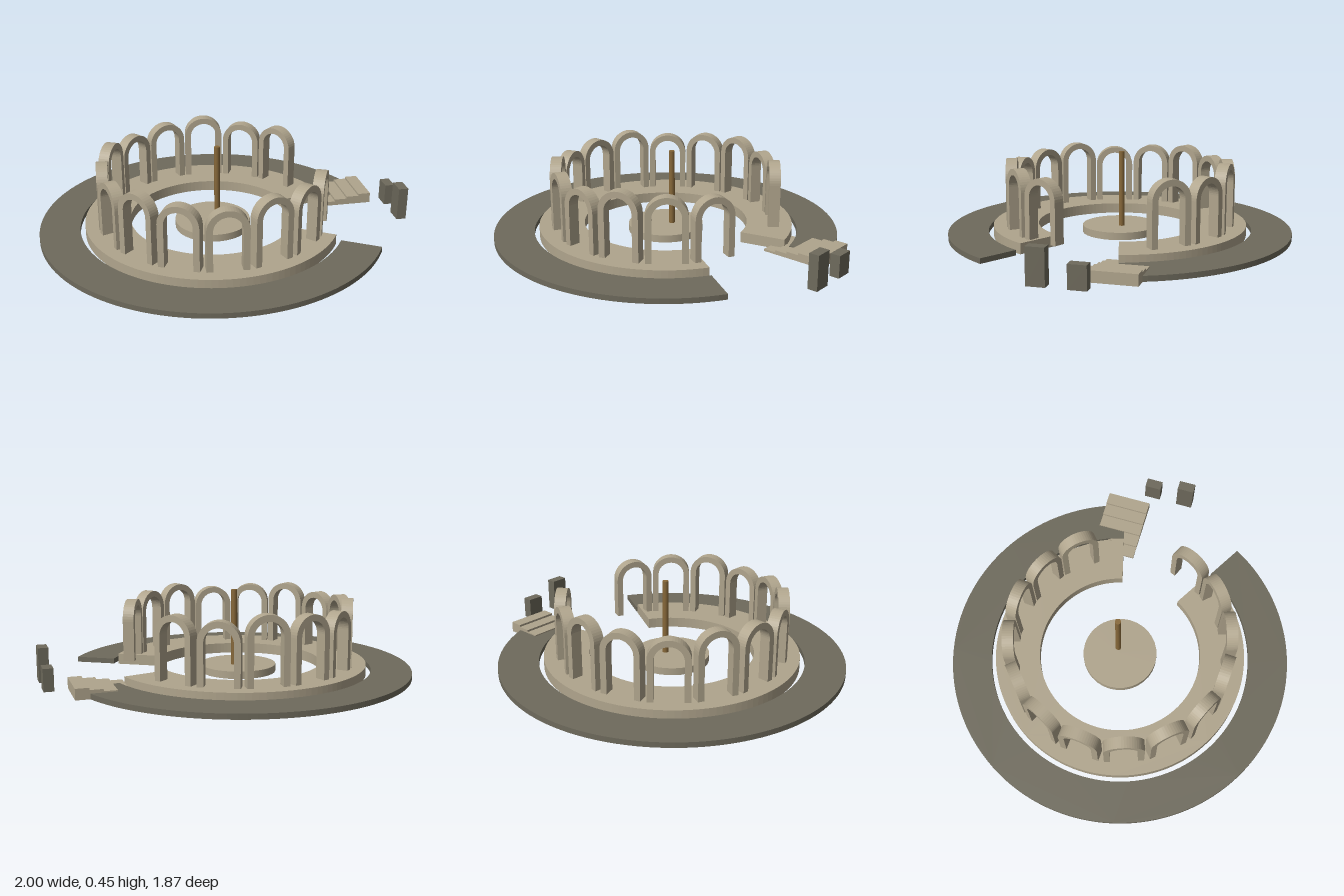
import * as THREE from 'three';

const rad = THREE.MathUtils.degToRad;
const CX = -0.067; // centre of the round court
const GAP_START = rad(30.7), GAP_END = rad(345.3);

export function createModel() {
  const group = new THREE.Group();
  const mat = (name, color) => {
    const m = new THREE.MeshStandardMaterial({ color });
    m.name = name;
    return m;
  };
  const stone = mat('pale stone', 0xb0a58d);
  const dark = mat('dark stone', 0x6e6a5c);
  const bronze = mat('bronze', 0x88693a);

  const add = (name, geometry, material, x = 0, y = 0, z = 0) => {
    const mesh = new THREE.Mesh(geometry, material);
    mesh.name = name;
    mesh.position.set(x, y, z);
    group.add(mesh);
    return mesh;
  };
  // box given by its limits, standing on the ground
  const block = (name, material, x0, x1, z0, z1, h) =>
    add(name, new THREE.BoxGeometry(x1 - x0, h, z1 - z0), material, (x0 + x1) / 2, h / 2, (z0 + z1) / 2);

  // open ring slab with a gap towards the stairs
  const ring = (name, material, outer, inner, h) => {
    const s = new THREE.Shape();
    s.absarc(0, 0, outer, GAP_START, GAP_END, false);
    s.absarc(0, 0, inner, GAP_END, GAP_START, true);
    s.closePath();
    const g = new THREE.ExtrudeGeometry(s, { depth: h, bevelEnabled: false, curveSegments: 56 });
    g.rotateX(Math.PI / 2);
    add(name, g, material, CX, h, 0);
  };
  ring('outerWalk', dark, 0.933, 0.717, 0.028);
  ring('innerTerrace', stone, 0.69, 0.445, 0.057);

  // central platform and pole
  add('centrePlatform', new THREE.CylinderGeometry(0.204, 0.204, 0.04, 32), stone, CX, 0.02, 0);
  add('pole', new THREE.CylinderGeometry(0.016, 0.016, 0.412, 10), bronze, -0.038, 0.244, -0.018);

  // arcade: arches in three repeating heights
  const archGeometry = (h) => {
    const R = 0.107, r = 0.074, spring = h - R;
    const s = new THREE.Shape();
    s.moveTo(-R, 0);
    s.lineTo(-r, 0);
    s.lineTo(-r, spring);
    s.absarc(0, spring, r, Math.PI, 0, true);
    s.lineTo(r, 0);
    s.lineTo(R, 0);
    s.lineTo(R, spring);
    s.absarc(0, spring, R, 0, Math.PI, false);
    s.closePath();
    const g = new THREE.ExtrudeGeometry(s, { depth: 0.06, bevelEnabled: false, curveSegments: 12 });
    return g.translate(0, 0, -0.03);
  };
  const arches = [0.381, 0.396, 0.412].map((top) => archGeometry(top - 0.057));
  for (let i = 0; i < 14; i++) {
    const a = rad(25.2 + 22.71 * i);
    const arch = add('arch', arches[i % 3], stone, CX + 0.584 * Math.cos(a), 0.057, 0.584 * Math.sin(a));
    arch.rotation.y = Math.PI / 2 - a;
  }

  // stairs rising outwards
  for (let i = 0; i < 5; i++) {
    const x = 0.527 + i * 0.0694;
    block('step', stone, x, x + 0.0694, -0.343, -0.097, 0.0115 * (i + 1));
  }

  // gate posts
  block('tallPost', dark, 0.947, 1, 0.049, 0.142, 0.183);
  block('shortPost', dark, 0.947, 1, -0.144, -0.053, 0.118);

  return group;
}
